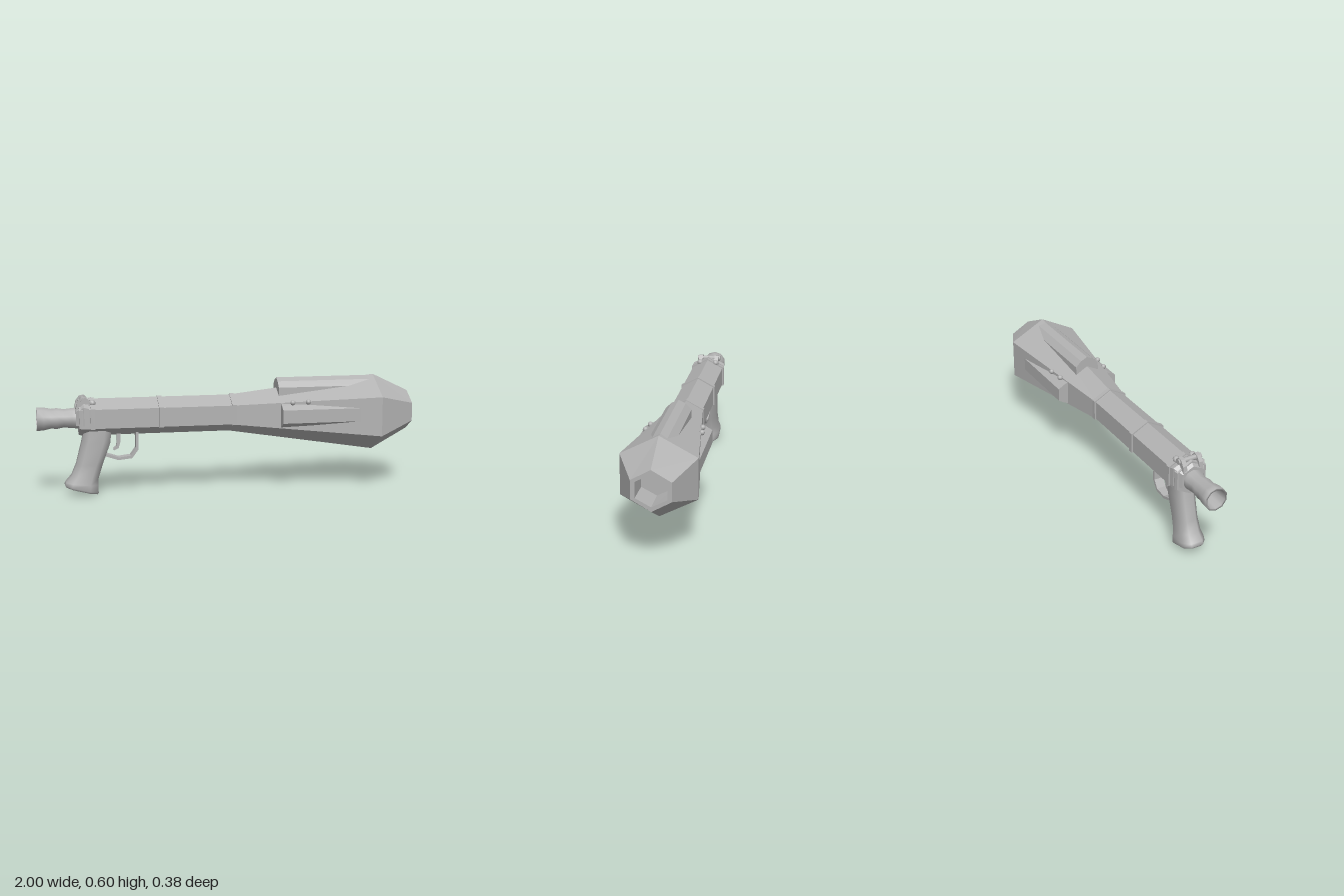
import * as THREE from 'three';

const metal = new THREE.MeshStandardMaterial({ color: 0xb2b2b2 });
metal.name = 'grey metal';

// Joins equal-length rings of [x, y, z] points and closes both ends.
function loft(rings, smooth = false) {
  const pos = [], idx = [], n = rings[0].length;
  rings.forEach(r => r.forEach(p => pos.push(...p)));
  for (let i = 0; i < rings.length - 1; i++) {
    for (let k = 0; k < n; k++) {
      const a = i * n + k, b = i * n + (k + 1) % n;
      idx.push(a, b, b + n, a, b + n, a + n);
    }
  }
  // End caps have their own vertices so their edges stay sharp.
  const cap = (ring, flip) => {
    const s = pos.length / 3;
    ring.forEach(p => pos.push(...p));
    for (let k = 1; k < n - 1; k++) idx.push(s, s + (flip ? k + 1 : k), s + (flip ? k : k + 1));
  };
  cap(rings[0], true);
  cap(rings[rings.length - 1], false);
  let g = new THREE.BufferGeometry();
  g.setAttribute('position', new THREE.Float32BufferAttribute(pos, 3));
  g.setIndex(idx);
  if (!smooth) g = g.toNonIndexed();
  g.computeVertexNormals();
  return g;
}

// Hexagon across x with a point at top and bottom.
const hex = (x, c, t, s, w) => [
  [x, c + t, 0], [x, c + s, w], [x, c - s, w], [x, c - t, 0], [x, c - s, -w], [x, c + s, -w],
];

// Regular ring across x.
const ring = (x, r, c = 0.412, n = 10) => Array.from({ length: n }, (_, k) => {
  const a = (k / n) * Math.PI * 2;
  return [x, c + r * Math.cos(a), r * Math.sin(a)];
});

// Prism along x from a [y, z] section.
const prism = (x0, x1, section) => loft([x0, x1].map(x => section.map(([y, z]) => [x, y, z])));

// Flat plate from an xy outline, centred on z.
function plate(points, width) {
  const shape = new THREE.Shape(points.map(p => new THREE.Vector2(...p)));
  return new THREE.ExtrudeGeometry(shape, { depth: width, bevelEnabled: false }).translate(0, 0, -width / 2);
}

export function createModel() {
  const model = new THREE.Group();
  const add = (name, geometry, x = 0, y = 0, z = 0) => {
    const mesh = new THREE.Mesh(geometry, metal);
    mesh.name = name;
    mesh.position.set(x, y, z);
    model.add(mesh);
    return mesh;
  };

  // Tube flaring into the big faceted head with a recessed muzzle
  add('barrel', loft([
    hex(-0.785, 0.415, 0.092, 0.047, 0.081),
    hex(-0.77, 0.415, 0.097, 0.05, 0.085),
    hex(0.01, 0.415, 0.097, 0.05, 0.085),
    hex(0.805, 0.397, 0.205, 0.105, 0.189),
    hex(1, 0.404, 0.104, 0.048, 0.098),
    hex(1, 0.404, 0.081, 0.04, 0.077),
    hex(0.86, 0.4, 0.077, 0.038, 0.075),
  ]));

  // Straps over the top and sides of the tube
  const strap = [[0.518, 0], [0.469, 0.093], [0.362, 0.093], [0.362, -0.093], [0.469, -0.093]];
  for (const x of [-0.715, -0.36, 0.027]) add('strap', prism(x - 0.012, x + 0.012, strap));

  // Top fin with a faceted roof
  add('topFin', prism(0.27, 0.8, [
    [0.597, 0], [0.58, 0.036], [0.55, 0.066], [0.5, 0.066],
    [0.5, -0.066], [0.55, -0.066], [0.58, -0.036],
  ]));

  // Side fins and their rivets
  const side = [[0.485, 0.09], [0.465, 0.14], [0.445, 0.174], [0.375, 0.174], [0.355, 0.14], [0.335, 0.09]];
  add('leftFin', prism(0.27, 0.78, side));
  add('rightFin', prism(0.27, 0.78, side.map(([y, z]) => [y, -z]).reverse()));
  for (const s of [1, -1]) {
    add('rivet', new THREE.SphereGeometry(0.014, 10, 8), 0.33, 0.479, s * 0.134);
    add('rivet', new THREE.SphereGeometry(0.014, 10, 8), 0.412, 0.482, s * 0.143);
  }

  // Hollow rear nozzle
  add('rearNozzle', loft([
    ring(-0.9, 0.04), ring(-1, 0.051), ring(-1, 0.062), ring(-0.965, 0.061),
    ring(-0.925, 0.052), ring(-0.895, 0.055), ring(-0.86, 0.048),
    ring(-0.82, 0.053), ring(-0.76, 0.058),
  ], true));

  // Rear clamp: sloped saddle, lugs and cross pin
  add('rearClamp', loft([
    [-0.8, 0.06, 0.485, 0.455], [-0.76, 0.088, 0.52, 0.478], [-0.735, 0.091, 0.518, 0.471],
  ].map(([x, w, top, shoulder]) => [
    [x, top, 0], [x, shoulder, w], [x, 0.38, w], [x, 0.38, -w], [x, shoulder, -w],
  ])));
  for (const s of [1, -1]) {
    add('clampLug', plate([[-0.8, 0.46], [-0.72, 0.46], [-0.73, 0.505], [-0.75, 0.526], [-0.775, 0.522], [-0.795, 0.495]], 0.022), 0, 0, s * 0.045);
    add('clampKnob', new THREE.SphereGeometry(0.018, 8, 6), -0.715, 0.494, s * 0.045);
  }
  add('clampPin', new THREE.CylinderGeometry(0.014, 0.014, 0.13, 8).rotateX(Math.PI / 2), -0.76, 0.508, 0);

  // Pistol grip: chamfered sections [back x, back y, front x, front y, half width]
  const grip = [
    [-0.855, 0.048, -0.695, 0.006, 0.055], [-0.862, 0.06, -0.688, 0.015, 0.063],
    [-0.855, 0.075, -0.69, 0.055, 0.063], [-0.825, 0.11, -0.688, 0.09, 0.055],
    [-0.8, 0.17, -0.664, 0.165, 0.051], [-0.768, 0.295, -0.622, 0.28, 0.053],
    [-0.757, 0.36, -0.615, 0.36, 0.053],
  ].map(([bx, by, fx, fy, w]) => {
    const p = (t, z) => [bx + (fx - bx) * t, by + (fy - by) * t, z * w];
    return [p(0.2, 1), p(0.75, 1), p(1, 0.5), p(1, -0.5), p(0.75, -1), p(0.2, -1), p(0, -0.5), p(0, 0.5)];
  });
  add('grip', loft(grip, true));

  // Trigger guard and trigger
  add('triggerGuard', plate([
    [-0.65, 0.207], [-0.58, 0.184], [-0.508, 0.192], [-0.474, 0.238], [-0.474, 0.335],
    [-0.488, 0.335], [-0.488, 0.245], [-0.515, 0.206], [-0.578, 0.198], [-0.65, 0.222],
  ], 0.05));
  add('trigger', plate([
    [-0.602, 0.234], [-0.578, 0.246], [-0.568, 0.28], [-0.566, 0.34],
    [-0.588, 0.34], [-0.585, 0.285], [-0.59, 0.257], [-0.606, 0.245],
  ], 0.026));

  return model;
}
